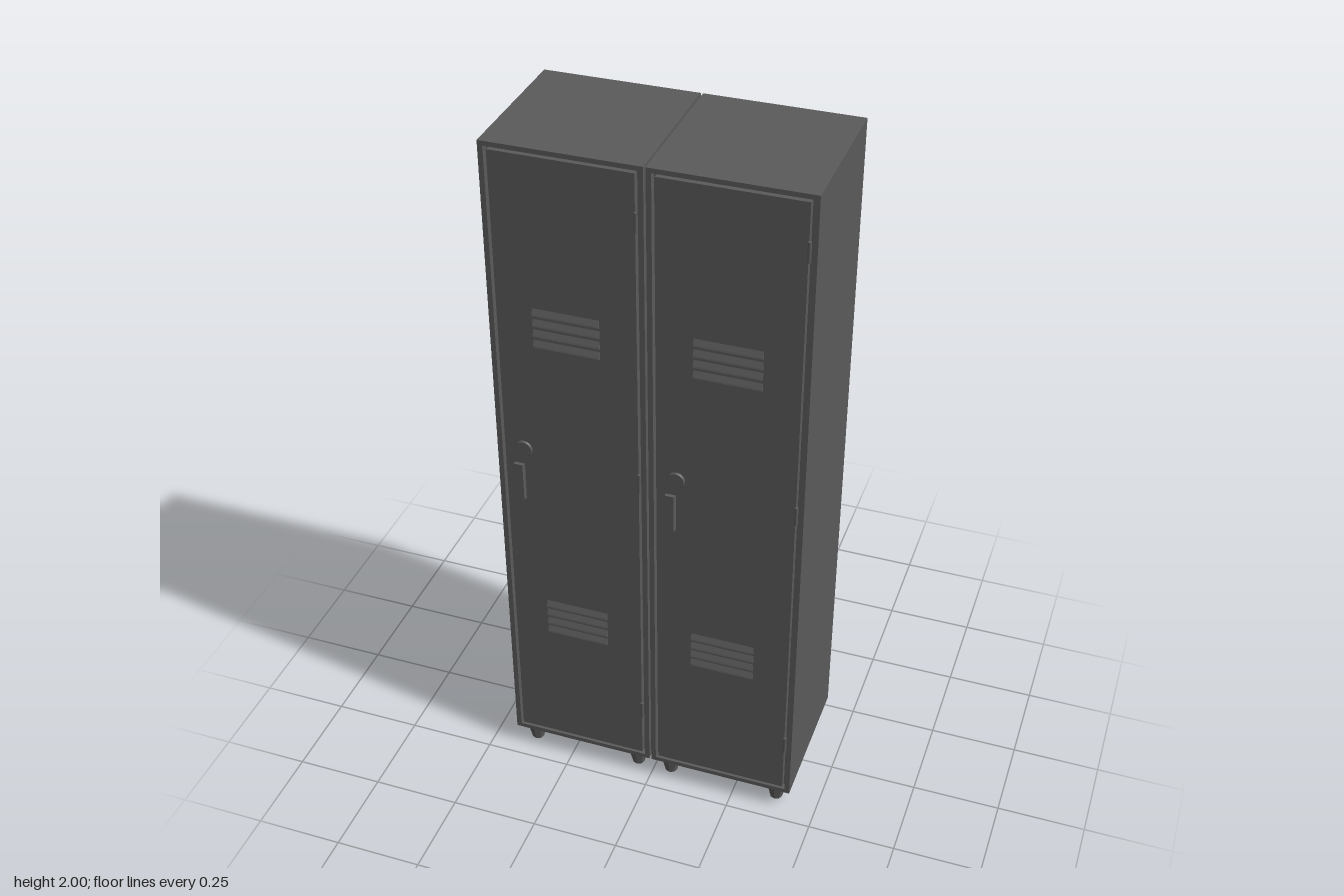
import * as THREE from 'three';

const W = 0.422, BOTTOM = 0.065, TOP = 2, FRONT = 0.205, BACK = -0.217;

export function createModel() {
  const steel = new THREE.MeshStandardMaterial({ color: 0x5a5a5a });
  steel.name = 'dark grey steel';
  const model = new THREE.Group();
  model.name = 'lockers';

  const add = (parent, name, geometry, x, y, z) => {
    const mesh = new THREE.Mesh(geometry, steel);
    mesh.name = name;
    mesh.position.set(x, y, z);
    parent.add(mesh);
    return mesh;
  };

  // Front rim with a door opening
  const frameDepth = 0.02;
  const rim = new THREE.Shape([[-W / 2, BOTTOM], [W / 2, BOTTOM], [W / 2, TOP], [-W / 2, TOP]]
    .map(p => new THREE.Vector2(...p)));
  rim.holes.push(new THREE.Path([[-0.197, 0.078], [-0.197, 1.987], [0.197, 1.987], [0.197, 0.078]]
    .map(p => new THREE.Vector2(...p))));
  const rimGeometry = new THREE.ExtrudeGeometry(rim, { depth: frameDepth, bevelEnabled: false });

  // Louver: slopes outward going down, then returns to the door
  const louverProfile = new THREE.Shape([[0, 0], [0.0075, 0.003], [0.0065, 0.007], [0, 0.022]]
    .map(p => new THREE.Vector2(...p)));
  const louverGeometry = new THREE.ExtrudeGeometry(louverProfile, { depth: 0.18, bevelEnabled: false });
  louverGeometry.rotateY(-Math.PI / 2).translate(0.09, 0, 0);

  // Handle plate: slightly tapered towards its face
  const handleProfile = new THREE.Shape([[-0.014, 0], [0.014, 0], [0.011, 0.01], [-0.014, 0.01]]
    .map(p => new THREE.Vector2(...p)));
  const handleGeometry = new THREE.ExtrudeGeometry(handleProfile, { depth: 0.115, bevelEnabled: false });
  handleGeometry.rotateX(Math.PI / 2).scale(1, 1, 1).translate(0, 0.0575, 0);

  const lockGeometry = new THREE.CylinderGeometry(0.022, 0.025, 0.005, 24).rotateX(Math.PI / 2);
  const hingeGeometry = new THREE.CylinderGeometry(0.005, 0.005, 0.055, 12);
  const legGeometry = new THREE.CylinderGeometry(0.033, 0.018, BOTTOM, 8).toNonIndexed();
  legGeometry.computeVertexNormals();

  for (const x of [-0.214, 0.214]) {
    const locker = new THREE.Group();
    locker.name = x < 0 ? 'rightLocker' : 'leftLocker';
    locker.position.x = x;
    model.add(locker);

    const bodyDepth = FRONT - frameDepth - BACK;
    add(locker, 'cabinet', new THREE.BoxGeometry(W, TOP - BOTTOM, bodyDepth),
      0, (TOP + BOTTOM) / 2, BACK + bodyDepth / 2);
    add(locker, 'doorFrame', rimGeometry, 0, 0, FRONT - frameDepth);
    add(locker, 'door', new THREE.BoxGeometry(0.378, 1.893, frameDepth),
      0, 1.0325, FRONT - frameDepth / 2 - 0.001);

    // Two banks of four louvers
    for (const y of [1.44, 0.478])
      for (let i = 0; i < 4; i++)
        add(locker, 'louver', louverGeometry, 0, y + i * 0.031, FRONT - 0.001);

    add(locker, 'handle', handleGeometry, -0.149, 1.003, FRONT);
    // The profile's depth axis is turned to face forward
    add(locker, 'lock', lockGeometry, -0.135, 1.11, FRONT + 0.0015);
    for (const y of [1.85, 1.075, 0.255])
      add(locker, 'hinge', hingeGeometry, 0.191, y, FRONT);

    // Tapered feet
    for (const fx of [-0.164, 0.161])
      for (const fz of [0.16, -0.17])
        add(locker, 'foot', legGeometry, fx, BOTTOM / 2, fz);
  }
  return model;
}
